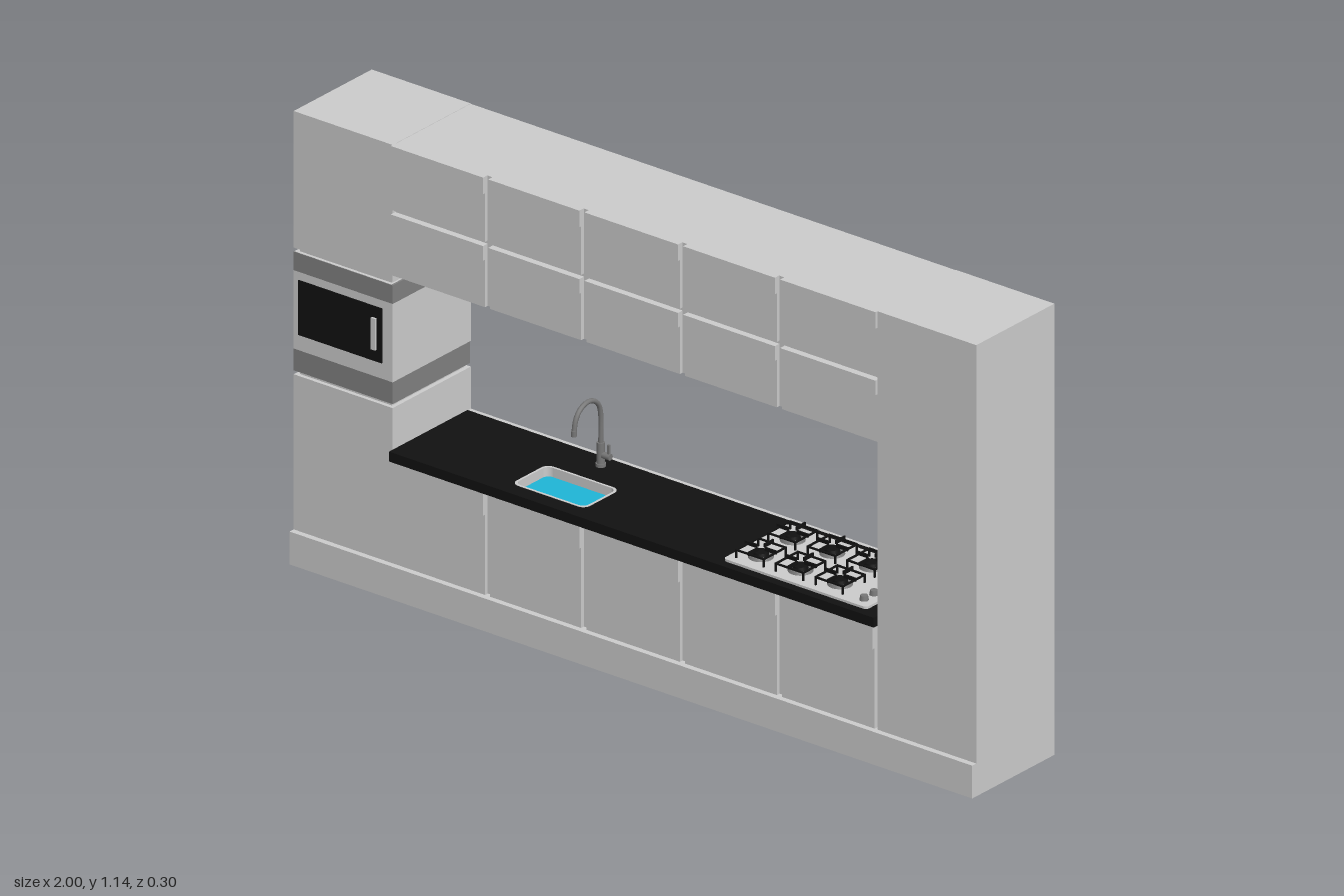
import * as THREE from 'three';

const mat = (color) => new THREE.MeshStandardMaterial({ color });
const GREY = mat(0xcccccc), BLACK = mat(0x111111), DARK = mat(0x808080);
const STEEL = mat(0x777777), WATER = mat(0x1fb5d6);

function add(parent, name, geometry, material, x = 0, y = 0, z = 0) {
  const m = new THREE.Mesh(geometry, material);
  m.name = name;
  m.position.set(x, y, z);
  parent.add(m);
  return m;
}

// Box given by its extents
function box(parent, name, x0, x1, y0, y1, z0, z1, material = GREY) {
  return add(parent, name, new THREE.BoxGeometry(x1 - x0, y1 - y0, z1 - z0), material,
    (x0 + x1) / 2, (y0 + y1) / 2, (z0 + z1) / 2);
}

function group(parent, name) {
  const g = new THREE.Group();
  g.name = name;
  parent.add(g);
  return g;
}

// Rounded rectangle in the plan (x, -z)
function roundRect(path, x0, x1, z0, z1, r) {
  const a = -z1, b = -z0;
  path.moveTo(x0 + r, a);
  path.lineTo(x1 - r, a);
  path.absarc(x1 - r, a + r, r, -Math.PI / 2, 0);
  path.absarc(x1 - r, b - r, r, 0, Math.PI / 2);
  path.absarc(x0 + r, b - r, r, Math.PI / 2, Math.PI);
  path.absarc(x0 + r, a + r, r, Math.PI, Math.PI * 1.5);
  return path;
}

function slab(shape, depth) {
  return new THREE.ExtrudeGeometry(shape, { depth, bevelEnabled: false, curveSegments: 6 })
    .rotateX(-Math.PI / 2);
}

const W = 0.71, BACK = -0.15, FRONT = 0.135, CORE = 0.125, TOP = 1.14;

// One row of fronts with a raised grip strip along the top of each
function doorRow(parent, y0, y1, stripHeight, end) {
  const gaps = [-0.432, -0.15, 0.139, 0.423];
  const starts = [-W, ...gaps.map((g) => g + 0.0075)];
  const ends = [...gaps.map((g) => g - 0.0075), end];
  starts.forEach((x, i) => {
    box(parent, 'door', x, ends[i], y0, y1, CORE, FRONT);
    box(parent, 'gripStrip', x, ends[i], y1 - stripHeight, y1, FRONT, 0.142);
  });
}

function buildOven(parent) {
  const g = group(parent, 'oven');
  const x0 = -1, x1 = -0.715;
  box(g, 'ovenBody', x0, x1, 0.485, 0.785, BACK, 0.133);
  // Dark bands wrapping the front and the inner side
  for (const [a, b] of [[0.485, 0.54], [0.738, 0.785]]) {
    box(g, 'bandFront', x0, x1, a, b, 0.133, FRONT, DARK);
    box(g, 'bandSide', x1, -W, a, b, BACK + 0.003, FRONT, DARK);
  }
  box(g, 'ovenSide', x1, -W, 0.54, 0.738, BACK, FRONT);
  box(g, 'ovenFrame', x0, x1, 0.54, 0.738, 0.133, FRONT);
  box(g, 'ovenGlass', -0.985, -0.74, 0.58, 0.718, FRONT, 0.138, BLACK);
  box(g, 'ovenHandle', -0.767, -0.755, 0.61, 0.69, 0.138, 0.144, GREY);
}

function buildSink(parent) {
  const g = group(parent, 'sink');
  const outer = roundRect(new THREE.Shape(), -0.385, -0.17, -0.023, 0.107, 0.02);
  outer.holes.push(roundRect(new THREE.Path(), -0.379, -0.176, -0.017, 0.101, 0.017));
  add(g, 'basinWall', slab(outer, 0.025), GREY, 0, 0.346, 0);
  add(g, 'basinFloor', slab(roundRect(new THREE.Shape(), -0.38, -0.175, -0.018, 0.102, 0.017), 0.002),
    WATER, 0, 0.3455, 0);
}

function buildTap(parent) {
  const g = group(parent, 'tap');
  g.position.set(-0.285, 0.37, -0.095);
  add(g, 'tapBase', new THREE.CylinderGeometry(0.012, 0.012, 0.008, 16), STEEL, 0, 0.004, 0);
  add(g, 'tapBody', new THREE.CylinderGeometry(0.0095, 0.0095, 0.055, 16), STEEL, 0, 0.033, 0);
  // Gooseneck spout
  const pts = [[0.05, 0], [0.13, 0], [0.158, 0.008], [0.175, 0.028], [0.179, 0.05],
    [0.17, 0.075], [0.15, 0.091], [0.118, 0.098]];
  const curve = new THREE.CatmullRomCurve3(pts.map(([y, z]) => new THREE.Vector3(0, y, z)));
  add(g, 'spout', new THREE.TubeGeometry(curve, 32, 0.006, 10), STEEL);
  add(g, 'nozzle', new THREE.CylinderGeometry(0.007, 0.007, 0.014, 12), STEEL, 0, 0.118, 0.098);
  // Side lever
  add(g, 'leverStub', new THREE.CylinderGeometry(0.008, 0.008, 0.022, 12).rotateZ(Math.PI / 2),
    STEEL, 0.018, 0.03, 0);
  box(g, 'lever', 0.02, 0.026, 0.03, 0.06, -0.003, 0.003, STEEL);
}

function buildHob(parent) {
  const g = group(parent, 'hob');
  add(g, 'hobPlate', slab(roundRect(new THREE.Shape(), 0.25, 0.67, -0.113, 0.125, 0.01), 0.006),
    GREY, 0, 0.37, 0);
  for (const x of [0.312, 0.428, 0.544]) {
    for (const z of [-0.052, 0.064]) {
      const b = group(g, 'burner');
      b.position.set(x, 0.376, z);
      add(b, 'burnerRing', new THREE.CylinderGeometry(0.026, 0.03, 0.006, 20), STEEL, 0, 0.003, 0);
      add(b, 'burnerCap', new THREE.CylinderGeometry(0.017, 0.019, 0.008, 20), BLACK, 0, 0.01, 0);
      // Pan support: square frame, four fingers, four feet
      for (let i = 0; i < 4; i++) {
        const arm = group(b, 'panSupport');
        arm.rotation.y = i * Math.PI / 2;
        box(arm, 'frameBar', -0.042, 0.042, 0.018, 0.022, 0.038, 0.042, BLACK);
        box(arm, 'finger', -0.002, 0.002, 0.019, 0.028, 0.012, 0.046, BLACK);
        box(arm, 'foot', 0.038, 0.042, 0, 0.018, 0.038, 0.042, BLACK);
      }
    }
  }
  // Control knobs along the side
  for (let i = 0; i < 6; i++) {
    const z = -0.084 + i * 0.036;
    add(g, 'knob', new THREE.CylinderGeometry(0.009, 0.011, 0.012, 14), STEEL, 0.64, 0.382, z);
  }
}

export function createModel() {
  const model = new THREE.Group();
  model.name = 'kitchenUnit';

  // Tall side columns
  box(model, 'rightEndColumn', W, 1, 0, TOP, BACK, FRONT);
  box(model, 'ovenColumnLower', -1, -W, 0, 0.475, BACK, FRONT);
  box(model, 'ovenColumnCore', -0.99, -0.72, 0.475, 0.795, BACK + 0.01, CORE);
  box(model, 'ovenColumnUpper', -1, -W, 0.795, TOP, BACK, FRONT);
  buildOven(model);

  // Base cabinets and plinth
  const base = group(model, 'baseCabinets');
  box(base, 'baseCarcass', -W, W, 0, 0.345, BACK, CORE);
  box(base, 'baseBackRim', -W, W, 0.345, 0.369, BACK, -0.138);
  doorRow(base, 0.08, 0.343, 0.057, 0.702);
  box(base, 'plinth', -1, 1, 0, 0.083, CORE, 0.15);

  // Wall cabinets in two rows
  const wall = group(model, 'wallCabinets');
  box(wall, 'wallCarcass', -W, W, 0.81, TOP - 0.001, BACK, CORE);
  doorRow(wall, 0.81, 0.967, 0.037, W);
  doorRow(wall, 0.975, TOP, 0.042, W);

  // Worktop with sink cut-out
  const top = roundRect(new THREE.Shape(), -W, W, -0.138, 0.148, 0.0005);
  top.holes.push(roundRect(new THREE.Path(), -0.384, -0.171, -0.022, 0.106, 0.02));
  add(model, 'worktop', slab(top, 0.025), BLACK, 0, 0.345, 0);

  buildSink(model);
  buildTap(model);
  buildHob(model);
  return model;
}
